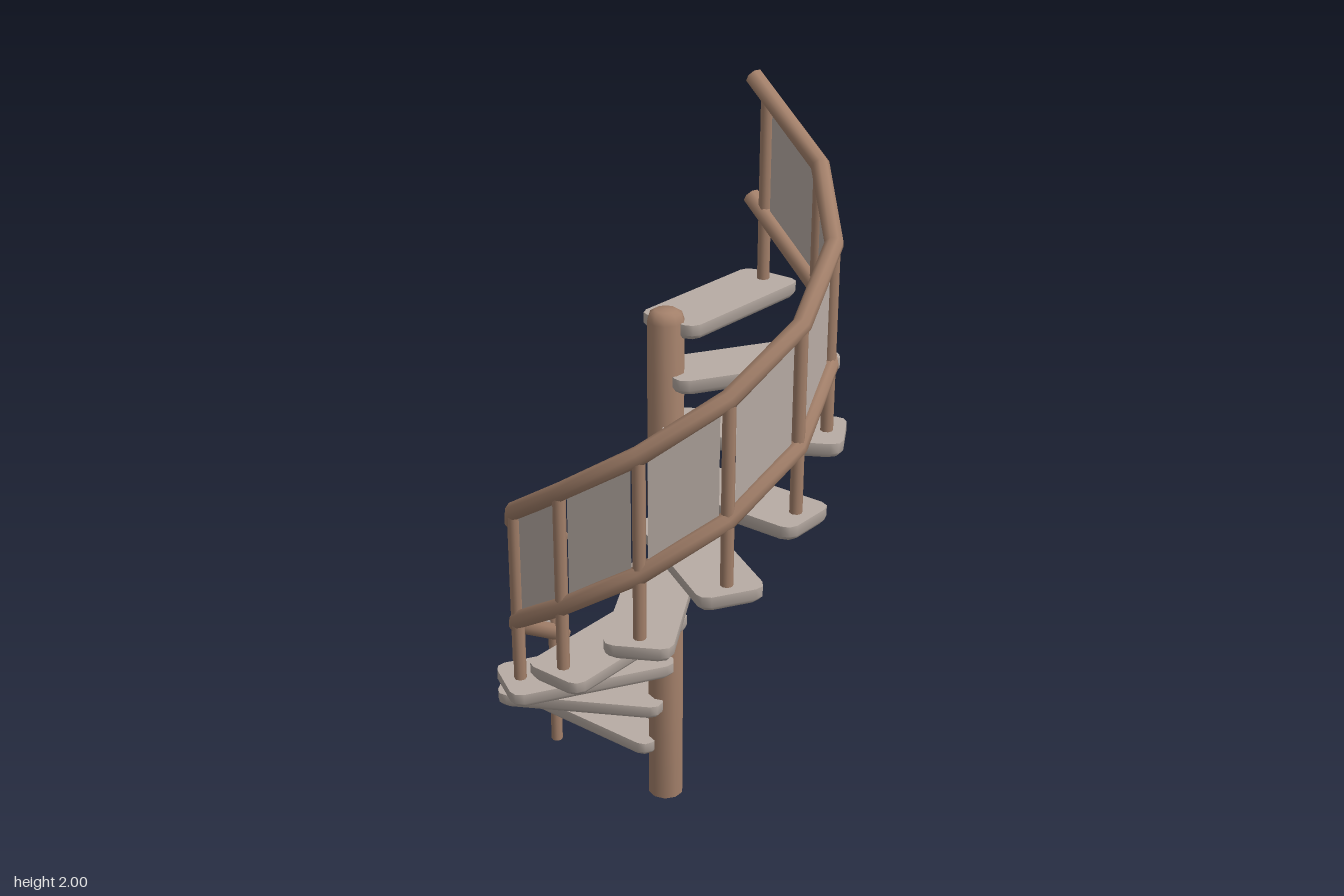
import * as THREE from 'three';
import { toCreasedNormals } from 'three/addons/utils/BufferGeometryUtils.js';

const STEPS = 10, RISE = 0.139, TURN = Math.PI / 6, RAIL_R = 0.422;
const STEP_TOP = 0.19, LOWER_RAIL = 0.37, UPPER_RAIL = 0.693;

// Point on the helix at step i
function helix(i, y0, radius = RAIL_R) {
  const a = i * TURN;
  return new THREE.Vector3(-Math.cos(a) * radius, y0 + i * RISE, Math.sin(a) * radius);
}

// Solid skinned over equal loops of points, closed with a fan at both ends
function loft(loops, crease) {
  const n = loops[0].length, pos = [], idx = [];
  loops.forEach(l => l.forEach(p => pos.push(p.x, p.y, p.z)));
  for (let r = 0; r < loops.length - 1; r++) {
    for (let k = 0; k < n; k++) {
      const a = r * n + k, b = r * n + (k + 1) % n;
      idx.push(a, b, a + n, b, b + n, a + n);
    }
  }
  const last = (loops.length - 1) * n;
  for (let k = 1; k < n - 1; k++) {
    idx.push(0, k + 1, k, last, last + k, last + k + 1);
  }
  const g = new THREE.BufferGeometry();
  g.setAttribute('position', new THREE.Float32BufferAttribute(pos, 3));
  g.setIndex(idx);
  return toCreasedNormals(g, crease);
}

// Tread with clipped corners, flat top and softened underside
function treadGeometry() {
  const loop = (y, inset) => {
    const pts = [], c = 0.03;
    const x0 = -0.47 + inset, x1 = -inset, w = 0.09 - inset;
    const corners = [[x1, w, 0], [x0, w, 1], [x0, -w, 2], [x1, -w, 3]];
    for (const [x, z, q] of corners) {
      const cx = x - Math.sign(x + 0.235) * c, cz = z - Math.sign(z) * c;
      for (let k = 0; k < 3; k++) {
        const t = (q + k / 2) * Math.PI / 2;
        pts.push(new THREE.Vector3(cx + Math.cos(t) * c, y, cz + Math.sin(t) * c));
      }
    }
    return pts.reverse();
  };
  return loft([loop(-0.046, 0.02), loop(-0.04, 0.008), loop(-0.028, 0), loop(0, 0)], 1);
}

// Rail following the posts in straight mitred lengths, overshooting at both ends
function railGeometry(y0) {
  const path = [];
  for (let i = 0; i < STEPS; i++) path.push(helix(i, y0));
  const over = 0.26;
  path[0].lerp(path[1], -over);
  path[STEPS - 1].lerp(path[STEPS - 2], -over);
  const loops = path.map((p, i) => {
    const before = path[Math.max(i - 1, 0)], after = path[Math.min(i + 1, STEPS - 1)];
    const dir = after.clone().sub(before).normalize();
    const side = new THREE.Vector3(dir.z, 0, -dir.x).normalize();
    const up = new THREE.Vector3().crossVectors(dir, side);
    return Array.from({ length: 8 }, (_, k) => {
      const t = (k + 0.5) * Math.PI / 4;
      return p.clone().addScaledVector(side, Math.cos(t) * 0.025).addScaledVector(up, Math.sin(t) * 0.025);
    });
  });
  return loft(loops, 1);
}

// Flat infill between two neighbouring posts
function panelGeometry(i) {
  const gap = 0.1;
  const at = (y, t) => helix(i, y).lerp(helix(i + 1, y), t);
  const pts = [at(LOWER_RAIL, gap), at(LOWER_RAIL, 1 - gap), at(UPPER_RAIL, 1 - gap), at(UPPER_RAIL, gap)];
  const g = new THREE.BufferGeometry().setFromPoints(pts);
  g.setIndex([0, 1, 2, 0, 2, 3]);
  g.computeVertexNormals();
  return g;
}

export function createModel() {
  const model = new THREE.Group();
  model.name = 'spiralStaircase';
  const wood = new THREE.MeshStandardMaterial({ color: 0xa3806a });
  wood.name = 'brown wood';
  const stone = new THREE.MeshStandardMaterial({ color: 0xb8aca4 });
  stone.name = 'warm grey';
  const sheet = stone;
  sheet.side = THREE.DoubleSide;

  const add = (name, geometry, material) => {
    const mesh = new THREE.Mesh(geometry, material);
    mesh.name = name;
    model.add(mesh);
    return mesh;
  };

  // Central pole with a domed top
  const profile = [[0, 0], [0.05, 0], [0.05, 1.44], [0.043, 1.462], [0.03, 1.47], [0, 1.473]]
    .map(([x, y]) => new THREE.Vector2(x, y));
  add('centralPole', toCreasedNormals(new THREE.LatheGeometry(profile, 10), 1), wood);

  // Treads and their posts; the first post reaches the floor
  const tread = treadGeometry();
  for (let i = 0; i < STEPS; i++) {
    const top = STEP_TOP + i * RISE;
    const step = add('tread', tread, stone);
    step.position.y = top;
    step.rotation.y = i * TURN;

    const foot = i === 0 ? 0 : top - 0.01;
    const head = UPPER_RAIL + i * RISE;
    const post = add('post', new THREE.CylinderGeometry(0.017, 0.017, head - foot, 8), wood);
    post.position.copy(helix(i, 0));
    post.position.y = (foot + head) / 2;
  }

  // Rails and infill panels
  add('lowerRail', railGeometry(LOWER_RAIL), wood);
  add('handrail', railGeometry(UPPER_RAIL), wood);
  for (let i = 0; i < STEPS - 1; i++) add('panel', panelGeometry(i), sheet);

  return model;
}
